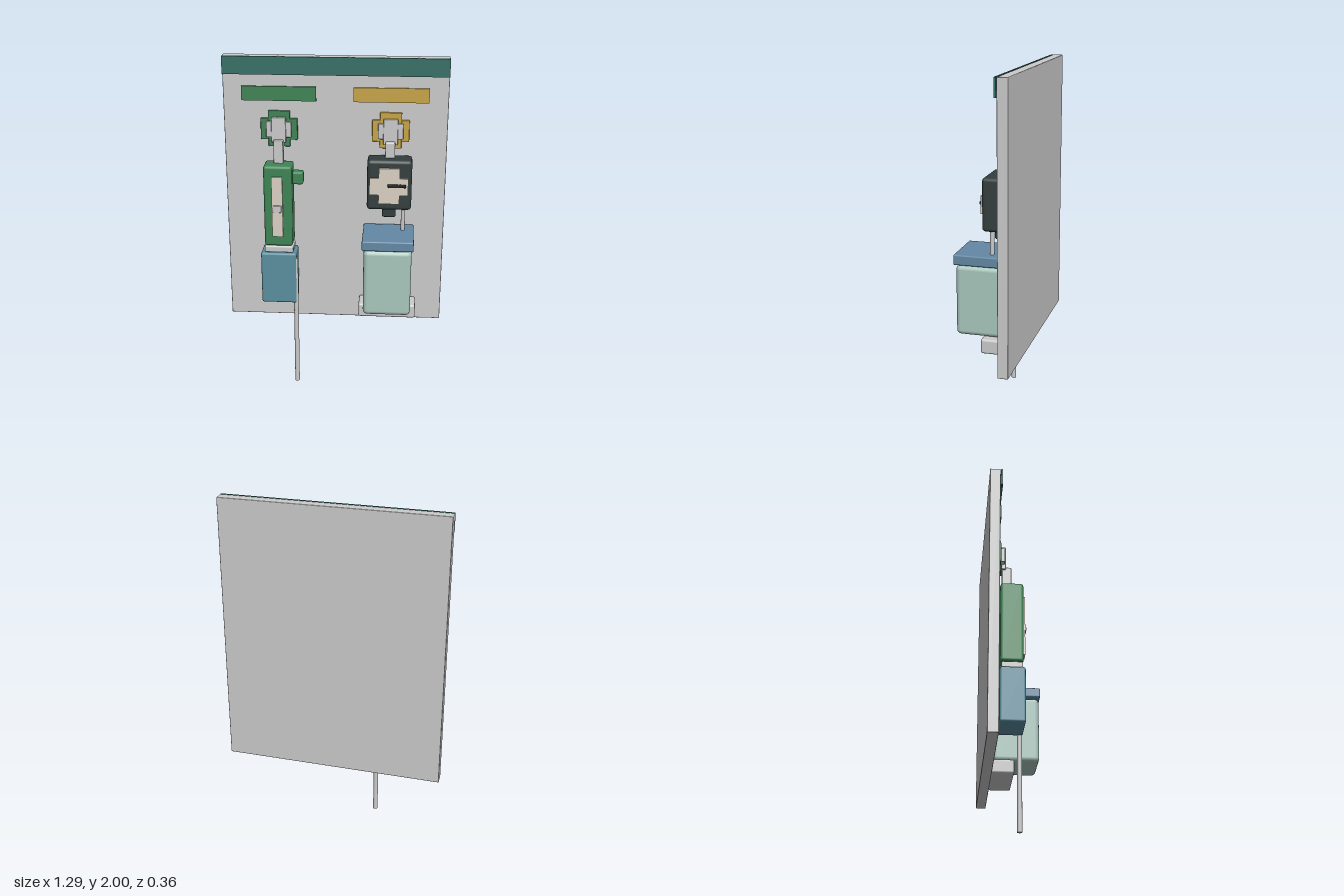
import * as THREE from 'three';
import { RoundedBoxGeometry } from 'three/addons/geometries/RoundedBoxGeometry.js';

const COLORS = {
  grey: 0xcccccc, teal: 0x367068, green: 0x3f8555, yellow: 0xc8a546, dark: 0x343e3e,
  blue: 0x6488a4, reservoir: 0x5b8fa0, glass: 0xa9c7be, cream: 0xdcd2c4, black: 0x222222,
};

export function createModel() {
  const model = new THREE.Group();
  const mats = {};
  for (const [k, color] of Object.entries(COLORS)) mats[k] = new THREE.MeshStandardMaterial({ color });

  const add = (name, geometry, color, parent) => {
    const mesh = new THREE.Mesh(geometry, mats[color]);
    mesh.name = name;
    parent.add(mesh);
    return mesh;
  };

  // Box given by its limits on each axis, with optional rounded edges
  const box = (name, color, [x0, x1], [y0, y1], [z0, z1], radius = 0, parent = model) => {
    const size = [x1 - x0, y1 - y0, z1 - z0];
    const geometry = radius ? new RoundedBoxGeometry(...size, 2, radius) : new THREE.BoxGeometry(...size);
    const mesh = add(name, geometry, color, parent);
    mesh.position.set((x0 + x1) / 2, (y0 + y1) / 2, (z0 + z1) / 2);
    return mesh;
  };

  // Vertical pipe
  const pipe = (name, x, z, y0, y1, r, parent) => {
    const mesh = add(name, new THREE.CylinderGeometry(r, r, y1 - y0, 16), 'grey', parent);
    mesh.position.set(x, (y0 + y1) / 2, z);
  };

  const group = (name) => {
    const g = new THREE.Group();
    g.name = name;
    model.add(g);
    return g;
  };

  // Wall panel and header
  box('wallPanel', 'grey', [-0.645, 0.645], [0.39, 2], [-0.18, -0.12], 0.004);
  box('headerStrip', 'teal', [-0.645, 0.645], [1.897, 2], [-0.117, -0.106]);

  // Label strip, wall outlet and plug, shared by both units
  const outlet = (x, color, neckBottom) => {
    const g = group('wallOutlet');
    box('labelStrip', color, [x - 0.215, x + 0.215], [1.747, 1.83], [-0.117, -0.107], 0, g);
    box('outletPlateWide', color, [x - 0.107, x + 0.107], [1.52, 1.646], [-0.119, -0.1], 0.004, g);
    box('outletPlateTall', color, [x - 0.063, x + 0.063], [1.48, 1.69], [-0.119, -0.099], 0.004, g);
    box('plugWide', 'grey', [x - 0.073, x + 0.073], [1.54, 1.63], [-0.1, -0.075], 0.005, g);
    box('plugTall', 'grey', [x - 0.042, x + 0.042], [1.51, 1.658], [-0.095, -0.069], 0.005, g);
    box('plugNeck', 'grey', [x - 0.028, x + 0.028], [neckBottom, 1.53], [-0.09, -0.036], 0.006, g);
  };
  outlet(-0.323, 'green', 1.38);
  outlet(0.32, 'yellow', 1.43);

  // Flow meter with bottle
  const meter = group('flowMeter');
  box('meterBody', 'green', [-0.406, -0.24], [0.905, 1.397], [-0.102, 0.029], 0.017, meter);
  box('meterScale', 'cream', [-0.357, -0.294], [0.97, 1.335], [0.024, 0.041], 0, meter);
  box('meterFloat', 'grey', [-0.35, -0.301], [1.122, 1.164], [0.036, 0.048], 0.004, meter);
  box('meterKnob', 'green', [-0.243, -0.178], [1.278, 1.354], [-0.066, -0.007], 0.012, meter);
  box('bottleCollar', 'grey', [-0.408, -0.238], [0.863, 0.902], [-0.095, 0.025], 0.008, meter);
  box('bottle', 'reservoir', [-0.43, -0.22], [0.54, 0.861], [-0.104, 0.037], 0.012, meter);
  pipe('outletPipe', -0.225, 0.018, 0, 0.83, 0.014, meter);

  // Suction regulator
  const regulator = group('regulator');
  box('regulatorBody', 'dark', [0.192, 0.448], [1.145, 1.443], [-0.105, 0.022], 0.02, regulator);
  box('dialWide', 'cream', [0.206, 0.428], [1.24, 1.34], [0.016, 0.033], 0, regulator);
  box('dialTall', 'cream', [0.259, 0.379], [1.188, 1.4], [0.016, 0.035], 0, regulator);
  box('dialNeedle', 'black', [0.31, 0.415], [1.288, 1.307], [0.03, 0.042], 0.004, regulator);
  box('regulatorKnob', 'dark', [0.28, 0.36], [1.084, 1.142], [-0.07, -0.026], 0.01, regulator);
  box('knobStem', 'dark', [0.3, 0.34], [1.13, 1.16], [-0.06, -0.036], 0, regulator);
  pipe('suctionPipe', 0.403, -0.025, 0.99, 1.16, 0.012, regulator);

  // Collection jar on its bracket
  const jar = group('collectionJar');
  box('jarLid', 'blue', [0.172, 0.468], [0.951, 1.01], [-0.115, 0.18], 0.008, jar);
  box('jarBody', 'glass', [0.182, 0.458], [0.542, 0.946], [-0.105, 0.172], 0.026, jar);
  box('jarBracket', 'grey', [0.15, 0.49], [0.456, 0.54], [-0.113, 0.021], 0.012, jar);

  return model;
}
